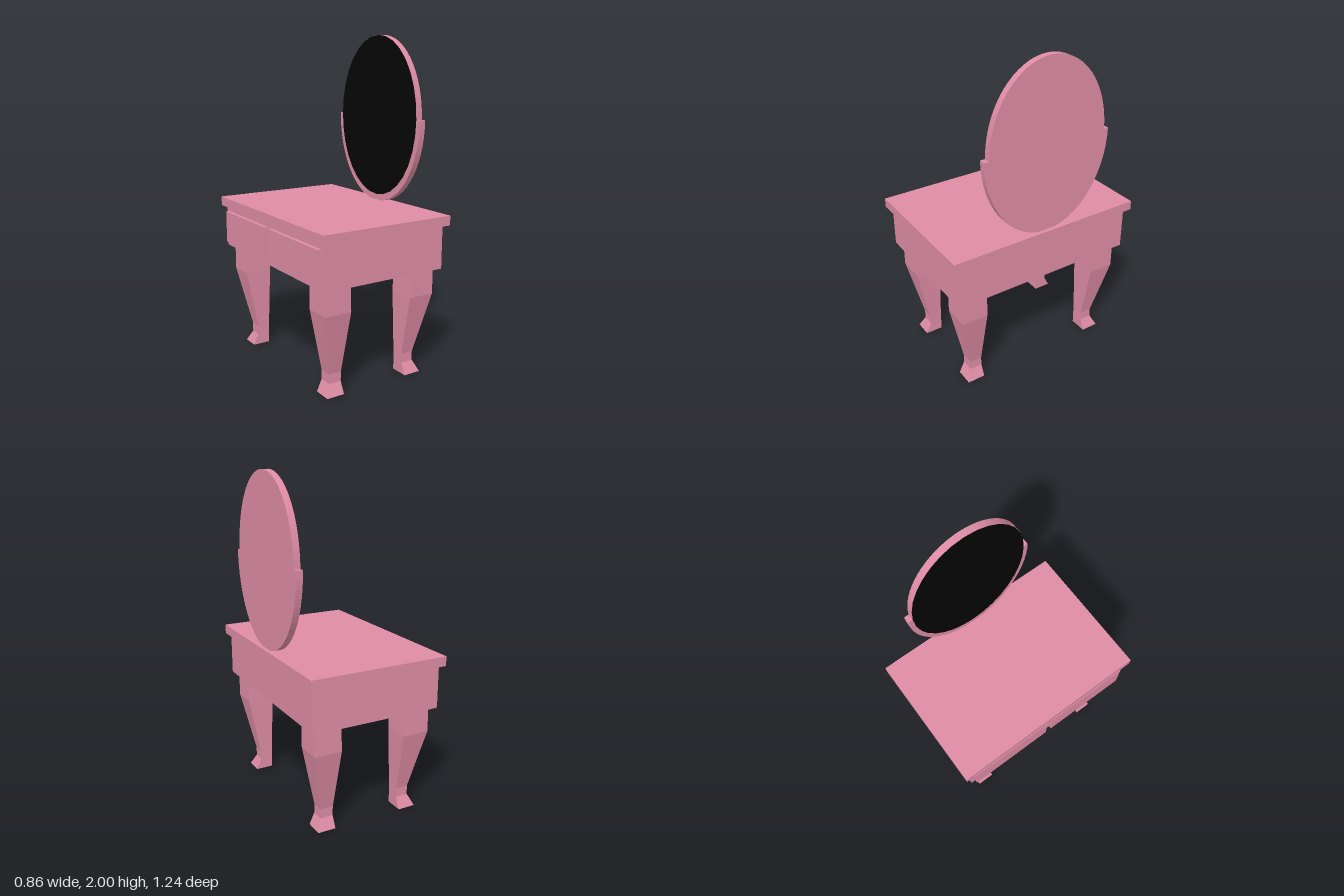
import * as THREE from 'three';

const wood = new THREE.MeshStandardMaterial({ color: 0xde8ca5, flatShading: true });
const black = new THREE.MeshStandardMaterial({ color: 0x050505 });

function box(name, [x0, x1], [y0, y1], [z0, z1]) {
  const mesh = new THREE.Mesh(new THREE.BoxGeometry(x1 - x0, y1 - y0, z1 - z0), wood);
  mesh.position.set((x0 + x1) / 2, (y0 + y1) / 2, (z0 + z1) / 2);
  mesh.name = name;
  return mesh;
}

// Leg levels from top to foot: y, inner x, outer x, inner z, outer z
const legLevels = [
  [0.655, 0.21, 0.373, 0.387, 0.55],
  [0.5, 0.206, 0.373, 0.387, 0.55],
  [0.125, 0.218, 0.298, 0.392, 0.469],
  [0.068, 0.219, 0.298, 0.392, 0.469],
  [0, 0.219, 0.33, 0.392, 0.503],
];

function leg(sx, sz) {
  const steps = legLevels.length - 1;
  const geo = new THREE.BoxGeometry(1, 1, 1, 1, steps, 1).toNonIndexed();
  const p = geo.attributes.position;
  for (let i = 0; i < p.count; i++) {
    const [y, xIn, xOut, zIn, zOut] = legLevels[Math.round((0.5 - p.getY(i)) * steps)];
    const x = p.getX(i) * sx > 0 ? xOut : xIn;
    const z = p.getZ(i) * sz > 0 ? zOut : zIn;
    p.setXYZ(i, x * sx, y, z * sz);
  }
  geo.computeVertexNormals();
  const mesh = new THREE.Mesh(geo, wood);
  mesh.name = 'leg';
  return mesh;
}

// Oval board whose lower half is a wider cradle, with glass on the drawer side
function mirror() {
  const group = new THREE.Group();
  group.name = 'mirror';
  const midY = 1.505;
  const outline = new THREE.Shape();
  outline.moveTo(-0.41, midY);
  outline.absellipse(0, midY, 0.41, midY - 0.97, Math.PI, 2 * Math.PI, false, 0);
  outline.lineTo(0.38, midY);
  outline.absellipse(0, midY, 0.38, 2 - midY, 0, Math.PI, false, 0);
  const boardGeo = new THREE.ExtrudeGeometry(outline, { depth: 0.04, bevelEnabled: false, curveSegments: 16 });
  boardGeo.rotateY(Math.PI / 2).translate(0.365, 0, 0);
  const board = new THREE.Mesh(boardGeo, wood);
  board.name = 'mirrorFrame';

  const glassGeo = new THREE.CircleGeometry(1, 32);
  glassGeo.scale(0.38, 2 - midY, 1).rotateY(-Math.PI / 2).translate(0.363, midY, 0);
  const glass = new THREE.Mesh(glassGeo, black);
  glass.name = 'mirrorGlass';
  group.add(board, glass);
  return group;
}

export function createModel() {
  const model = new THREE.Group();
  model.name = 'dressingTable';
  model.add(box('tabletop', [-0.43, 0.43], [0.917, 0.975], [-0.622, 0.622]));
  model.add(box('cabinet', [-0.405, 0.405], [0.655, 0.917], [-0.587, 0.587]));
  // Two drawer fronts on the -x side
  model.add(box('drawer', [-0.428, -0.4], [0.684, 0.886], [-0.56, -0.02]));
  model.add(box('drawer', [-0.428, -0.4], [0.684, 0.886], [0.02, 0.56]));
  for (const sx of [-1, 1]) for (const sz of [-1, 1]) model.add(leg(sx, sz));
  model.add(mirror());
  return model;
}
